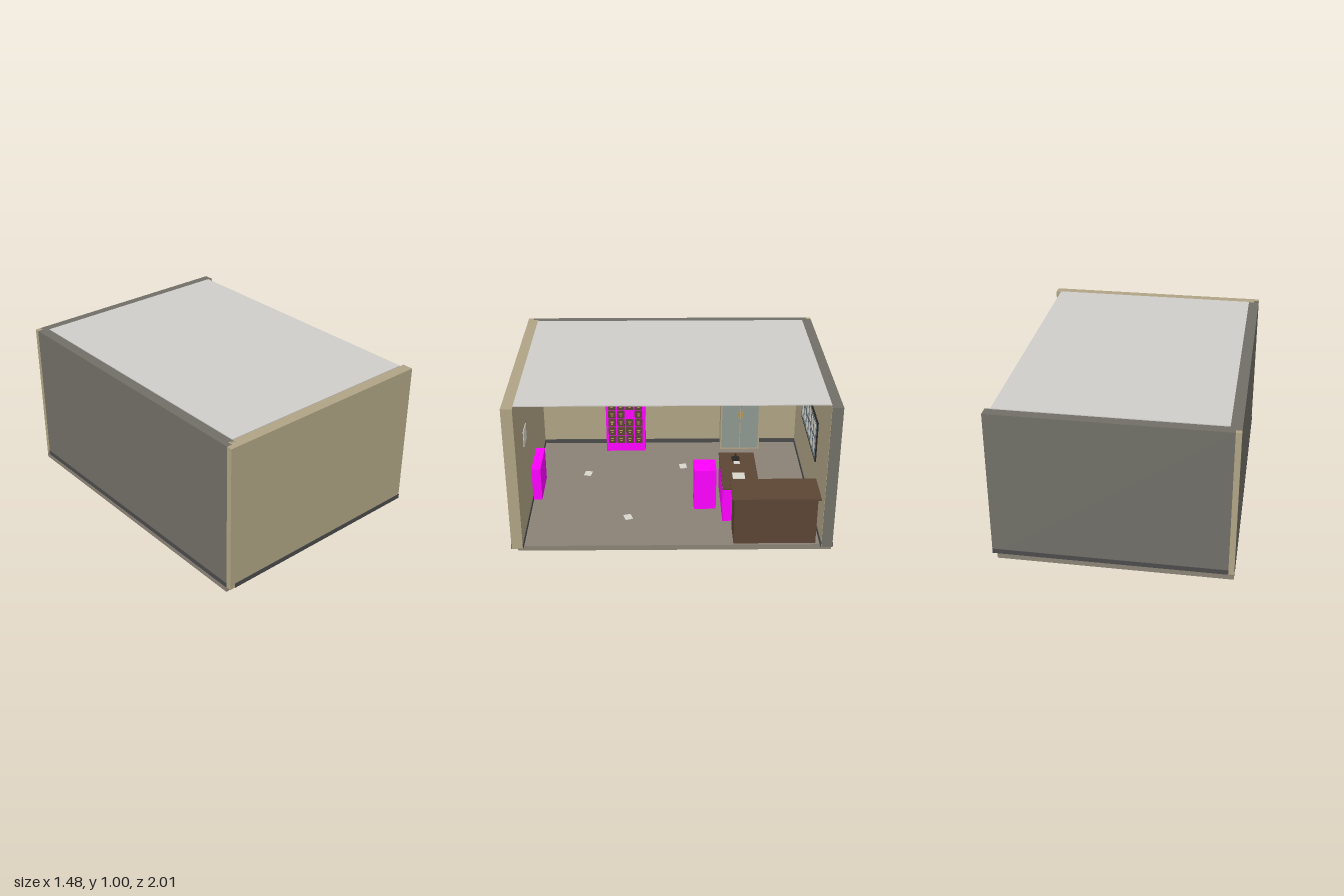
import * as THREE from 'three';

const mat = (color) => new THREE.MeshStandardMaterial({ color });
const M = {
  tan: mat(0xb0a485), grey: mat(0x716f67), floor: mat(0x8a8276), base: mat(0x4b4b4b),
  ceiling: mat(0xcfcdca), magenta: mat(0xff00ff), brown: mat(0x5c4534), dark: mat(0x2b2723),
  board: mat(0x5c5347), glass: mat(0x8d9890), slate: mat(0x6b7a82), paper: mat(0xd8d6cc),
  brass: mat(0xb89a55), white: mat(0xcccccc),
};

export function createModel() {
  const root = new THREE.Group();

  const group = (name, parent = root) => {
    const g = new THREE.Group();
    g.name = name;
    parent.add(g);
    return g;
  };
  // Box given by its bounds on each axis
  const box = (name, m, x0, x1, y0, y1, z0, z1, parent = root) => {
    const mesh = new THREE.Mesh(new THREE.BoxGeometry(x1 - x0, y1 - y0, z1 - z0), m);
    mesh.position.set((x0 + x1) / 2, (y0 + y1) / 2, (z0 + z1) / 2);
    mesh.name = name;
    parent.add(mesh);
    return mesh;
  };
  const cyl = (name, m, r0, r1, h, x, y, z, parent = root) => {
    const mesh = new THREE.Mesh(new THREE.CylinderGeometry(r0, r1, h, 20), m);
    mesh.position.set(x, y, z);
    mesh.name = name;
    parent.add(mesh);
    return mesh;
  };
  const F = 0.035; // floor level

  // Shell, open on the +x side
  const shell = group('roomShell');
  box('floor', M.floor, -0.74, 0.71, 0, F, -1, 0.965, shell);
  box('ceiling', M.ceiling, -0.672, 0.705, 0.999, 1.005, -0.935, 0.93, shell);
  box('frontWall', M.tan, -0.705, 0.74, F, 1, 0.93, 1, shell);
  box('backWall', M.grey, -0.705, 0.74, F, 1, -1, -0.932, shell);
  box('sideWall', M.grey, -0.74, -0.672, F, 1, -0.97, 0.965, shell);
  box('frontCornerPost', M.tan, -0.74, -0.705, F, 1, 0.965, 1, shell);
  box('backCornerPost', M.tan, -0.74, -0.705, F, 1, -1, -0.97, shell);
  box('backWallLining', M.tan, -0.67, 0.738, F, 0.998, -0.932, -0.93, shell);
  box('sideWallLining', M.tan, -0.672, -0.67, F, 0.998, -0.93, 0.93, shell);

  // Baseboards inside and outside
  const boards = group('baseboards');
  for (const s of [-1, 1]) {
    const z = (a, b) => [Math.min(s * a, s * b), Math.max(s * a, s * b)];
    box('outerBaseboard', M.base, -0.705, 0.74, F, 0.065, ...z(1, 1.003), boards);
    box('innerBaseboard', M.base, -0.67, 0.74, F, 0.065, ...z(0.926, 0.93), boards);
  }
  box('outerSideBaseboard', M.base, -0.743, -0.74, F, 0.065, -0.97, 0.965, boards);
  box('innerSideBaseboard', M.base, -0.67, -0.666, F, 0.065, -0.93, 0.93, boards);

  // Service counter
  const counter = group('counter');
  box('counterBody', M.brown, 0.5, 0.695, F, 0.36, -0.9, -0.385, counter);
  box('counterTop', M.brown, 0.47, 0.725, 0.36, 0.372, -0.915, -0.37, counter);

  // Desk with drawers, telephone and papers
  const desk = group('desk');
  box('deskBody', M.magenta, -0.04, 0.43, F, 0.272, -0.56, -0.33, desk);
  box('deskTop', M.brown, -0.045, 0.435, 0.272, 0.282, -0.565, -0.327, desk);
  for (let i = 0; i < 3; i++) {
    box('deskDrawer', M.magenta, 0.3, 0.41, 0.06 + i * 0.07, 0.12 + i * 0.07, -0.331, -0.327, desk);
  }
  box('telephoneBase', M.dark, 0.03, 0.08, 0.282, 0.297, -0.46, -0.41, desk);
  const handset = cyl('telephoneHandset', M.dark, 0.007, 0.007, 0.06, 0.055, 0.308, -0.435, desk);
  handset.rotation.z = Math.PI / 2;
  box('telephonePad', M.paper, 0.085, 0.115, 0.282, 0.287, -0.46, -0.42, desk);
  box('deskPapers', M.paper, 0.24, 0.32, 0.282, 0.289, -0.48, -0.4, desk);

  // Plain seats
  box('visitorSeat', M.magenta, 0.13, 0.28, F, 0.325, -0.295, -0.15);
  box('wallSeat', M.magenta, -0.15, 0.15, F, 0.27, 0.87, 0.93);

  // Card cabinet: drawers in a grid, one missing
  const cards = group('cardCabinet');
  box('cabinetBody', M.magenta, -0.67, -0.54, F, 0.455, 0.18, 0.465, cards);
  for (let r = 0; r < 5; r++) {
    for (let c = 0; c < 4; c++) {
      if (r === 1 && c === 2) continue;
      const y = 0.402 - r * 0.067, z = 0.421 - c * 0.064;
      box('cardDrawer', M.brown, -0.54, -0.53, y - 0.029, y + 0.029, z - 0.027, z + 0.027, cards);
      box('drawerLabel', M.brass, -0.53, -0.528, y + 0.004, y + 0.012, z - 0.012, z + 0.012, cards);
      box('drawerPull', M.brass, -0.53, -0.524, y - 0.01, y - 0.004, z - 0.007, z + 0.007, cards);
    }
  }

  // Glass fronted cabinet
  const glass = group('glassCabinet');
  box('cabinetCase', M.tan, -0.67, -0.56, F, 0.58, -0.655, -0.37, glass);
  for (const z of [-0.58, -0.445]) {
    box('glassDoor', M.glass, -0.56, -0.555, 0.05, 0.572, z - 0.064, z + 0.064, glass);
    box('doorHandle', M.brass, -0.555, -0.548, 0.3, 0.34,
      -0.5125 + Math.sign(z + 0.5125) * 0.014 - 0.003, -0.5125 + Math.sign(z + 0.5125) * 0.014 + 0.003, glass);
  }

  // Wall hangings
  box('wallBoard', M.board, -0.67, -0.662, 0.6, 0.95, 0.39, 0.9);
  box('wallNotice', M.paper, 0.27, 0.4, 0.57, 0.675, 0.926, 0.93);
  const notice = group('noticeBoard');
  box('boardFrame', M.dark, -0.335, 0.335, 0.415, 0.695, -0.93, -0.922, notice);
  box('boardPanel', M.slate, -0.32, 0.32, 0.43, 0.68, -0.922, -0.92, notice);
  for (let i = 0; i < 6; i++) {
    for (let j = 0; j < 2; j++) {
      const x = -0.26 + i * 0.104, y = 0.495 + j * 0.115 + (i % 2) * 0.012;
      box('pinnedSheet', M.paper, x - 0.032, x + 0.032, y - 0.043, y + 0.043, -0.92, -0.918, notice);
    }
  }
  const clock = group('wallClock');
  clock.position.set(0, 0.775, -0.93);
  clock.rotation.x = Math.PI / 2;
  cyl('clockCase', M.slate, 0.055, 0.055, 0.024, 0, 0.012, 0, clock);
  cyl('clockFace', M.white, 0.047, 0.047, 0.002, 0, 0.025, 0, clock);
  box('hourHand', M.dark, -0.002, 0.022, 0.026, 0.028, -0.002, 0.002, clock);
  box('minuteHand', M.dark, -0.002, 0.002, 0.026, 0.028, -0.036, 0.002, clock);

  // Ceiling lamps: plate, bulb and cage
  for (const z of [0.52, -0.45]) {
    const lamp = group('ceilingLamp');
    lamp.position.set(0.02, 0, z);
    cyl('lampPlate', M.dark, 0.036, 0.034, 0.012, 0, 0.992, 0, lamp);
    cyl('lampSocket', M.brass, 0.012, 0.014, 0.02, 0, 0.976, 0, lamp);
    const bulb = new THREE.Mesh(new THREE.SphereGeometry(0.014, 16, 12), M.paper);
    bulb.name = 'bulb';
    bulb.position.y = 0.958;
    lamp.add(bulb);
    for (let i = 0; i < 4; i++) {
      const a = (i * Math.PI) / 2;
      cyl('cageBar', M.dark, 0.002, 0.002, 0.055, 0.024 * Math.cos(a), 0.96, 0.024 * Math.sin(a), lamp);
    }
    const ring = new THREE.Mesh(new THREE.TorusGeometry(0.026, 0.004, 8, 24), M.dark);
    ring.name = 'cageRing';
    ring.rotation.x = Math.PI / 2;
    ring.position.y = 0.933;
    lamp.add(ring);
  }

  // Loose sheets on the floor
  for (const [x, z, turn] of [[0.38, 0.285, 0.3], [-0.2, 0.58, -0.2], [-0.3, -0.09, 0.1]]) {
    const sheet = box('looseSheet', M.paper, x - 0.03, x + 0.03, F, 0.039, z - 0.025, z + 0.025);
    sheet.rotation.y = turn;
  }
  return root;
}
